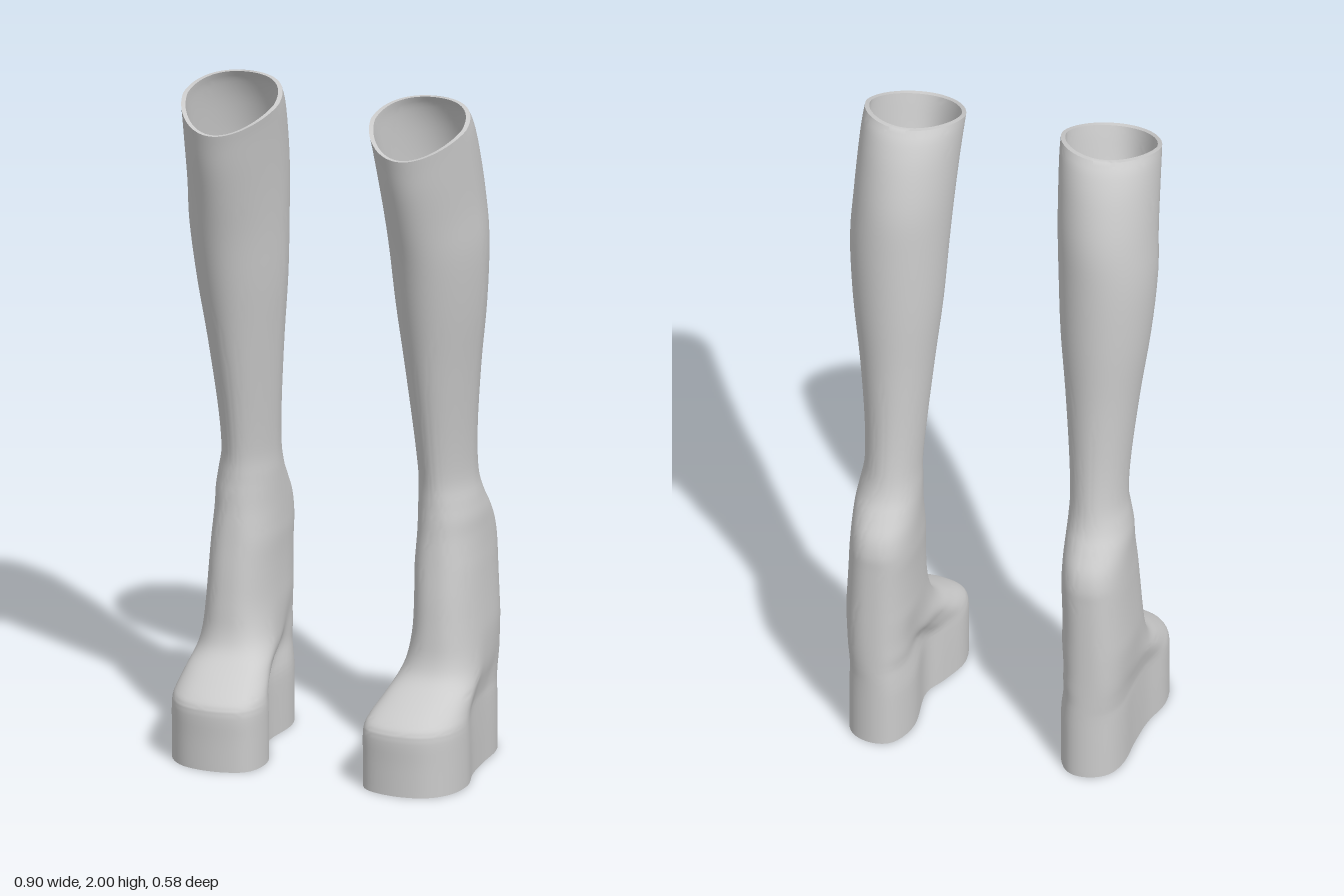
import * as THREE from 'three';
import { toCreasedNormals } from 'three/addons/utils/BufferGeometryUtils.js';

const AROUND = 72, UP = 92, WALL = 0.013;

// Levels from ground to rim: y, front z, back z, inner x, outer x, outline (0 sole, 1 wedge, 2 shaft)
const LEVELS = [
  [0, 0.285, -0.285, 0.157, 0.443, 0],
  [0.09, 0.287, -0.285, 0.157, 0.443, 0],
  [0.16, 0.29, -0.285, 0.158, 0.442, 0],
  [0.19, 0.284, -0.285, 0.162, 0.44, 0.02],
  [0.215, 0.255, -0.285, 0.17, 0.436, 0.08],
  [0.25, 0.195, -0.285, 0.184, 0.432, 0.25],
  [0.29, 0.122, -0.285, 0.195, 0.428, 0.5],
  [0.34, 0.092, -0.285, 0.207, 0.424, 0.75],
  [0.42, 0.08, -0.285, 0.215, 0.42, 1],
  [0.52, 0.07, -0.285, 0.217, 0.414, 1],
  [0.6, 0.06, -0.285, 0.215, 0.41, 1],
  [0.65, 0.054, -0.284, 0.216, 0.407, 1.1],
  [0.7, 0.048, -0.27, 0.217, 0.405, 1.3],
  [0.75, 0.044, -0.238, 0.218, 0.403, 1.5],
  [0.8, 0.04, -0.206, 0.219, 0.395, 1.75],
  [0.87, 0.04, -0.186, 0.22, 0.385, 2],
  [1.0, 0.06, -0.172, 0.212, 0.39, 2],
  [1.2, 0.1, -0.165, 0.195, 0.41, 2],
  [1.4, 0.14, -0.165, 0.176, 0.435, 2],
  [1.6, 0.178, -0.16, 0.165, 0.449, 2],
  [1.75, 0.212, -0.148, 0.157, 0.444, 2],
  [1.88, 0.244, -0.115, 0.15, 0.44, 2],
  [1.96, 0.261, -0.08, 0.145, 0.437, 2],
  [2.0, 0.27, -0.05, 0.143, 0.434, 2],
];

// Sole outline (x, z): heel, outer edge, toe, inner edge with its arch
const SOLE = [
  [0.31, -0.288], [0.375, -0.26], [0.405, -0.19], [0.41, -0.08],
  [0.42, 0.02], [0.445, 0.12], [0.43, 0.21], [0.375, 0.27],
  [0.29, 0.288], [0.205, 0.272], [0.165, 0.23], [0.157, 0.15],
  [0.19, 0.06], [0.225, -0.02], [0.215, -0.17], [0.25, -0.265],
];

const smoothCurve = (pts, closed) => new THREE.CatmullRomCurve3(pts, closed, 'catmullrom', 0.5);
const power = (v, p) => Math.sign(v) * Math.abs(v) ** p;

// Three outlines, each scaled to -1..1 and starting at the back
const soleCurve = smoothCurve(SOLE.map(([x, z]) => new THREE.Vector3((x - 0.3) / 0.145, 0, z / 0.288)), true);
const outlines = [[], [], []];
for (let k = 0; k < AROUND; k++) {
  const a = (k / AROUND) * Math.PI * 2, s = Math.sin(a), c = -Math.cos(a);
  const p = soleCurve.getPoint(k / AROUND);
  outlines[0].push([p.x, p.z]);
  outlines[1].push([power(s, 0.8), power(c, 0.85)]);
  outlines[2].push([s * (1 - 0.15 * Math.max(c, 0)), c]);
}

const sideCurve = smoothCurve(LEVELS.map((l) => new THREE.Vector3(l[0], l[1], l[2])), false);
const frontCurve = smoothCurve(LEVELS.map((l) => new THREE.Vector3(l[3], l[4], l[5])), false);

// One ring of the shell at t, drawn in by inset; the rim dips toward the front
function ring(t, inset, mirror) {
  const { x: y, y: front, z: back } = sideCurve.getPoint(t);
  const { x: inner, y: outer, z: m } = frontCurve.getPoint(t);
  const morph = THREE.MathUtils.clamp(m, 0, 2);
  const low = Math.min(Math.floor(morph), 1), mix = morph - low;
  const lean = 0.095 * THREE.MathUtils.smoothstep(y, 1.2, 2);
  return outlines[low].map(([u0, v0], k) => {
    const [u1, v1] = outlines[low + 1][k];
    const u = u0 + (u1 - u0) * mix, v = v0 + (v1 - v0) * mix;
    const x = (inner + outer) / 2 + u * ((outer - inner) / 2 - inset);
    const z = (front + back) / 2 + v * ((front - back) / 2 - inset);
    const dip = lean * Math.max((v + 1) / 2, 0) ** 1.5;
    return [x * mirror, y - dip, z];
  });
}

// Hollow boot: up the outside, over the rim, down the lining, closed at the lower edge
function bootGeometry(mirror) {
  const rings = [];
  for (let i = 0; i <= UP; i++) rings.push(ring(i / UP, 0, mirror));
  for (let i = UP; i >= 0; i--) rings.push(ring(i / UP, WALL, mirror));
  const index = [];
  rings.forEach((_, i) => {
    const next = (i + 1) % rings.length;
    for (let k = 0; k < AROUND; k++) {
      const k1 = (k + 1) % AROUND;
      const a = i * AROUND + k, b = i * AROUND + k1;
      const c = next * AROUND + k, d = next * AROUND + k1;
      if (mirror > 0) index.push(a, c, b, b, c, d);
      else index.push(a, b, c, b, d, c);
    }
  });
  const geometry = new THREE.BufferGeometry();
  geometry.setAttribute('position', new THREE.Float32BufferAttribute(rings.flat(2), 3));
  geometry.setIndex(index);
  return toCreasedNormals(geometry, Math.PI / 3.5);
}

export function createModel() {
  const model = new THREE.Group();
  model.name = 'platformBoots';
  const material = new THREE.MeshStandardMaterial({ color: 0xcccccc });
  for (const [name, mirror] of [['leftBoot', 1], ['rightBoot', -1]]) {
    const boot = new THREE.Mesh(bootGeometry(mirror), material);
    boot.name = name;
    model.add(boot);
  }
  return model;
}
